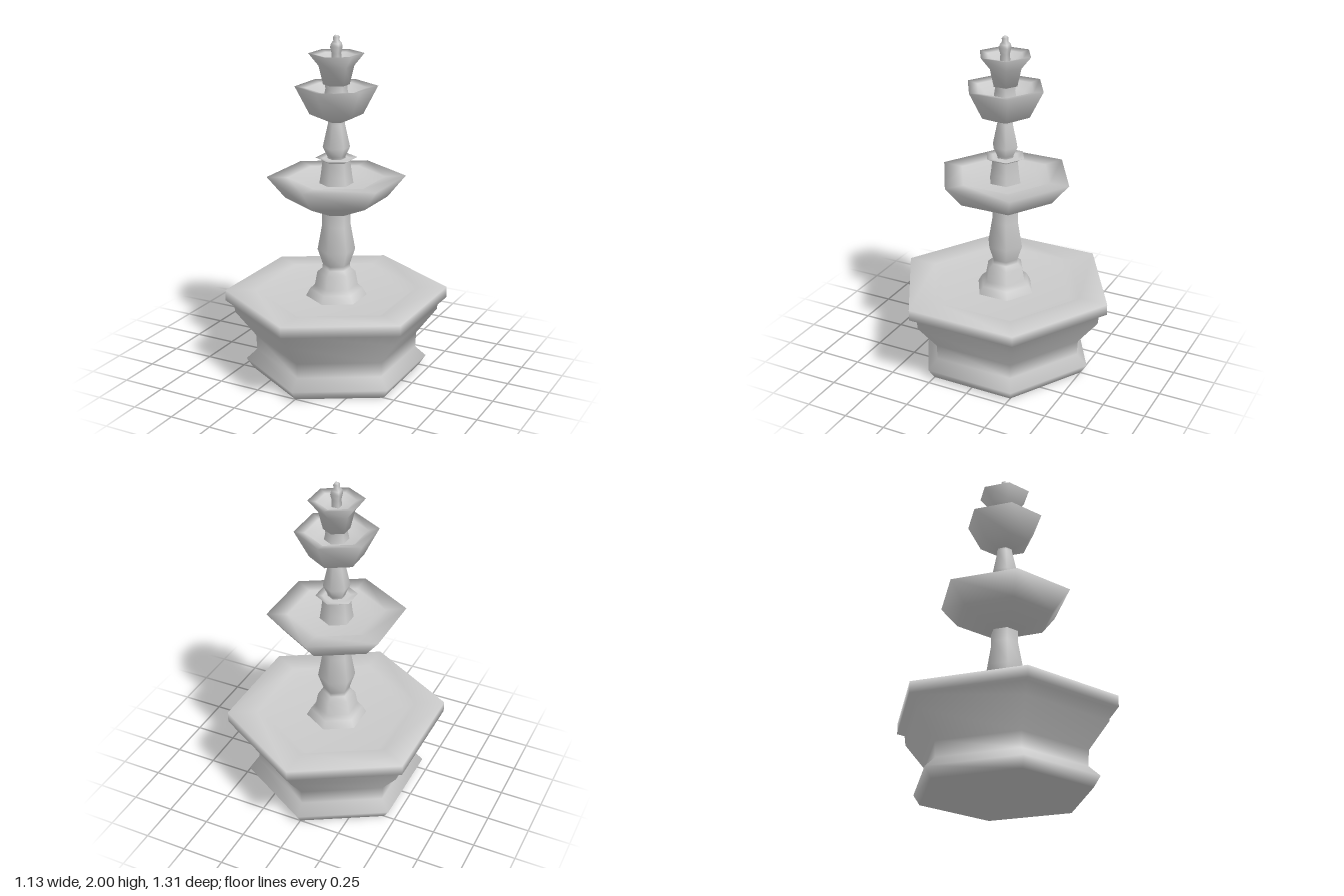
import * as THREE from 'three';

const material = new THREE.MeshStandardMaterial({ color: 0xcccccc });

// Turned part: profile of [corner radius, height], running up the outside and back down the inside.
function turned(name, profile, sides = 6, start = 0) {
  const points = profile.map(([r, y]) => new THREE.Vector2(r, y));
  const mesh = new THREE.Mesh(new THREE.LatheGeometry(points, sides, start), material);
  mesh.name = name;
  return mesh;
}

export function createModel() {
  const fountain = new THREE.Group();
  fountain.name = 'fountain';

  fountain.add(
    // Ground basin with a wide flat rim and shallow floor
    turned('basin', [
      [0, 0], [0.5, 0], [0.54, 0.06], [0.475, 0.12], [0.48, 0.21], [0.6, 0.36], [0.61, 0.435],
      [0.655, 0.435], [0.655, 0.5], [0.48, 0.5], [0.42, 0.46], [0, 0.46],
    ]),
    // Main column with flared foot
    turned('lowerColumn', [
      [0.18, 0.46], [0.155, 0.505], [0.127, 0.53], [0.112, 0.61], [0.082, 0.635],
      [0.08, 0.66], [0.11, 0.75], [0.083, 0.9], [0.083, 1.0],
    ]),
    turned('largeBowl', [
      [0, 0.975], [0.085, 0.975], [0.295, 1.065], [0.4, 1.19], [0.28, 1.185], [0.22, 1.15], [0, 1.15],
    ]),
    // Short drum topped by a thin collar
    turned('collar', [
      [0.098, 1.15], [0.09, 1.2], [0.08, 1.28], [0.085, 1.287], [0.12, 1.303], [0.08, 1.298], [0, 1.298],
    ]),
    turned('upperColumn', [[0.05, 1.295], [0.052, 1.31], [0.078, 1.365], [0.048, 1.5], [0.05, 1.53]]),
    turned('middleBowl', [
      [0, 1.51], [0.055, 1.515], [0.152, 1.555], [0.235, 1.715], [0.175, 1.705], [0.13, 1.66], [0, 1.66],
    ]),
    turned('topStem', [[0.07, 1.66], [0.062, 1.7], [0.065, 1.74]]),
    turned('topBowl', [
      [0, 1.725], [0.075, 1.725], [0.1, 1.83], [0.157, 1.9], [0.11, 1.89], [0.075, 1.86], [0, 1.86],
    ]),
    // Square spout, axis aligned
    turned('spout', [
      [0.03, 1.86], [0.028, 1.9], [0.037, 1.935], [0.032, 1.955], [0.018, 1.972],
      [0.02, 1.99], [0.012, 2], [0, 2],
    ], 4, Math.PI / 4),
  );

  return fountain;
}
